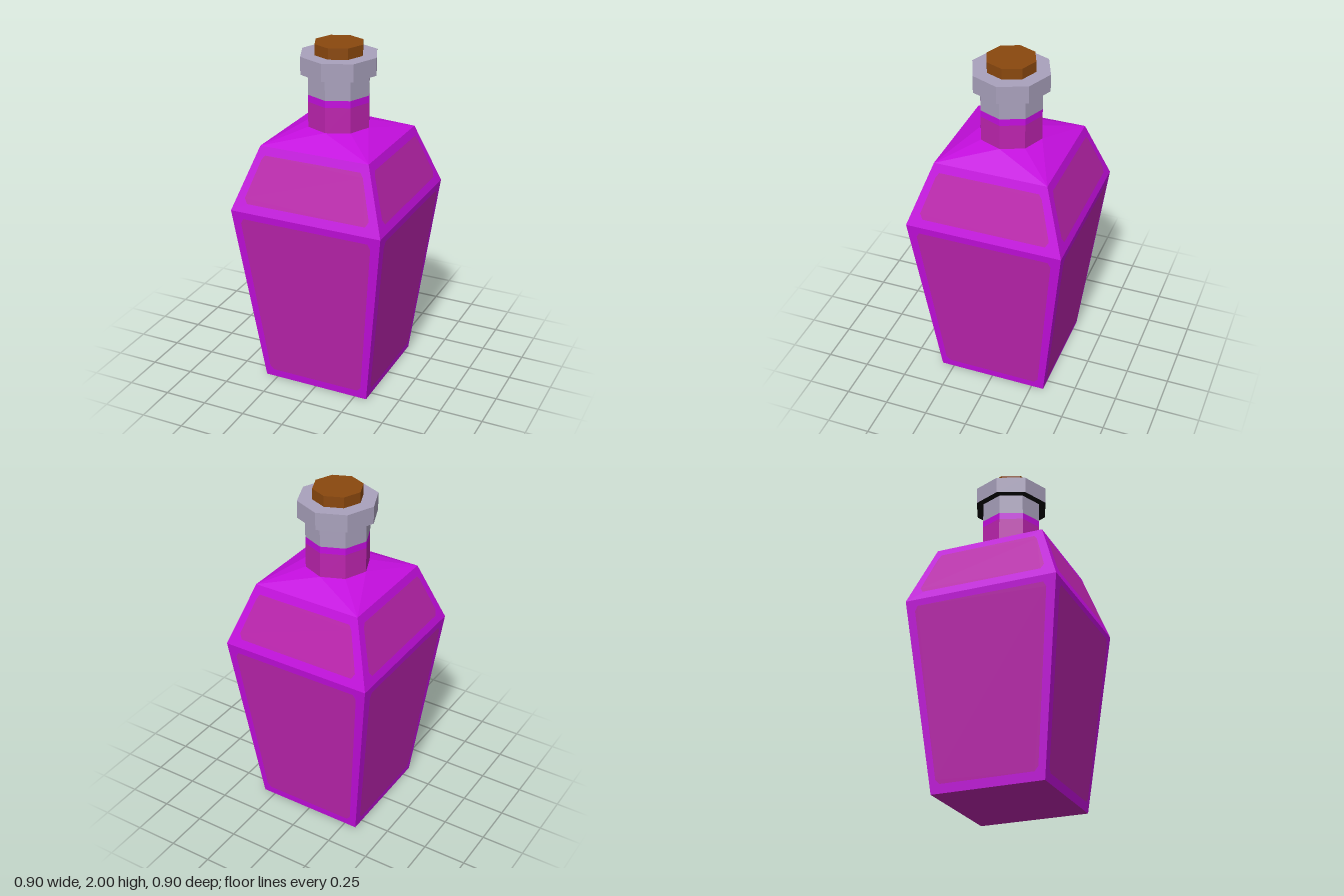
import * as THREE from 'three';

const mat = (name, color, extra = {}) => {
  const m = new THREE.MeshStandardMaterial({ color, ...extra });
  m.name = name;
  return m;
};

export function createModel() {
  const group = new THREE.Group();
  const purple = mat('purple glass', 0xc40ede);
  const magenta = mat('magenta potion', 0xbc24ae);
  const grey = mat('grey glass', 0xa9a1bc);
  const brown = mat('brown cork', 0x8a480e);
  const black = mat('black underside', 0x050505);

  const add = (name, geometry, material) => {
    const flat = geometry.index ? geometry.toNonIndexed() : geometry;
    flat.computeVertexNormals();
    const mesh = new THREE.Mesh(flat, material);
    mesh.name = name;
    group.add(mesh);
    return mesh;
  };
  // Prism or frustum between two heights; materials are side, top, bottom
  const prism = (name, rTop, rBottom, y0, y1, sides, materials) => {
    const g = new THREE.CylinderGeometry(rTop, rBottom, y1 - y0, sides);
    if (sides === 4) g.rotateY(Math.PI / 4);
    g.translate(0, (y0 + y1) / 2, 0);
    return add(name, g, materials);
  };

  // Square body: half widths at base, waist and shoulder
  const BASE = 0.323, WAIST = 0.45, WAIST_Y = 1.1, TOP_Y = 1.46;
  const d = Math.SQRT2;
  prism('lowerBody', WAIST * d, BASE * d, 0, WAIST_Y, 4, [purple, purple, magenta]);
  prism('upperBody', BASE * d, WAIST * d, WAIST_Y, TOP_Y, 4, purple);

  // Shoulder: square rim joined to the octagonal neck
  const NECK_R = 0.18, NECK_Y = 1.535;
  const oct = i => [NECK_R * Math.sin(i * Math.PI / 4), NECK_Y, NECK_R * Math.cos(i * Math.PI / 4)];
  const corner = i => {
    const a = (i + 0.5) * Math.PI / 2;
    return [BASE * d * Math.sin(a), TOP_Y, BASE * d * Math.cos(a)];
  };
  const pos = [];
  for (let i = 0; i < 4; i++) {
    pos.push(...corner(i - 1), ...corner(i), ...oct(2 * i));
    pos.push(...corner(i), ...oct(2 * i + 1), ...oct(2 * i));
    pos.push(...corner(i), ...oct(2 * i + 2), ...oct(2 * i + 1));
  }
  const shoulder = new THREE.BufferGeometry();
  shoulder.setAttribute('position', new THREE.Float32BufferAttribute(pos, 3));
  add('shoulder', shoulder, purple);

  // Thin potion panels lying on the sloping faces, mirrored in x
  const panel = (name, half, depthAt) => {
    const outline = [...half, ...half.map(([x, y]) => [-x, y]).reverse()];
    const g = new THREE.ShapeGeometry(new THREE.Shape(outline.map(p => new THREE.Vector2(...p))));
    const p = g.attributes.position;
    for (let i = 0; i < p.count; i++) p.setZ(i, depthAt(p.getY(i)) + 0.004);
    for (let i = 0; i < 4; i++) add(name + (i + 1), g.clone().rotateY(i * Math.PI / 2), magenta);
  };
  panel('lowerPanel',
    [[0.27, 0.05], [0.292, 0.075], [0.391, 1.03], [0.375, 1.06]],
    y => BASE + (WAIST - BASE) * y / WAIST_Y);
  panel('upperPanel',
    [[0.355, 1.15], [0.372, 1.18], [0.303, 1.39], [0.285, 1.415]],
    y => WAIST - (WAIST - BASE) * (y - WAIST_Y) / (TOP_Y - WAIST_Y));

  // Neck bands, collar and stopper
  prism('neckPotion', NECK_R, NECK_R, 1.53, 1.68, 8, magenta);
  prism('neckPotionLine', NECK_R, NECK_R, 1.68, 1.72, 8, purple);
  prism('neckGlass', NECK_R, NECK_R, 1.72, 1.85, 8, grey);
  prism('collar', 0.222, 0.222, 1.838, 1.938, 8, [grey, grey, black]);
  prism('cork', 0.14, 0.14, 1.9, 2, 8, brown);
  return group;
}
